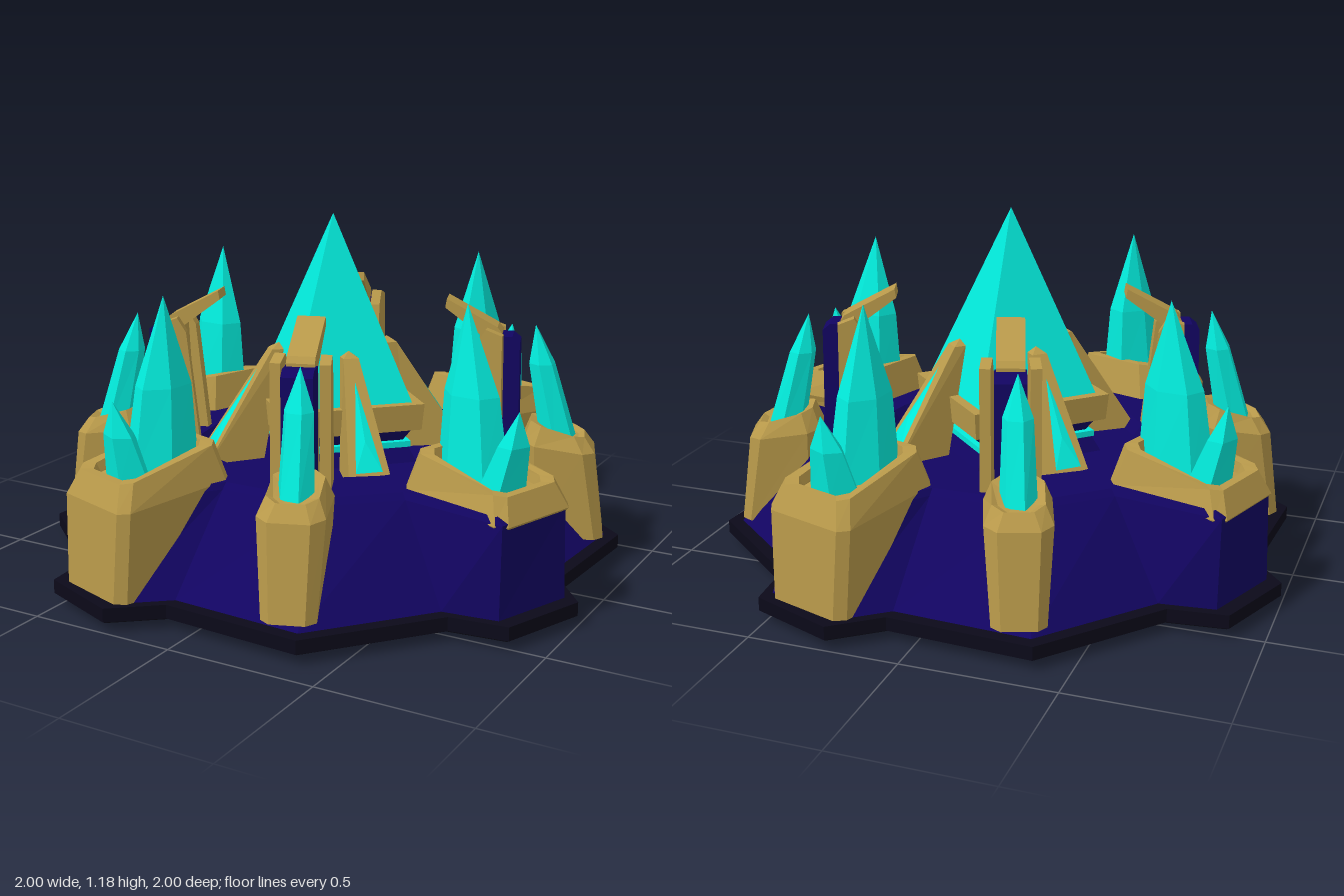
import * as THREE from 'three';

const mat = (color) => new THREE.MeshStandardMaterial({ color, flatShading: true, side: THREE.DoubleSide });
const CYAN = mat(0x02ecdc), GOLD = mat(0xb8994a), NAVY = mat(0x120562), BLACK = mat(0x0b0919);
const P = (x, y, z) => new THREE.Vector3(x, y, z);

function mesh(name, geometry, material) {
  const m = new THREE.Mesh(geometry, material);
  m.name = name;
  return m;
}

// Skin rings of equal point count; rings run anticlockwise seen from the end of the loft.
function loft(rings) {
  const out = [];
  const tri = (a, b, c) => {
    if (a.equals(b) || b.equals(c) || a.equals(c)) return;
    for (const p of [a, b, c]) out.push(p.x, p.y, p.z);
  };
  for (let k = 0; k + 1 < rings.length; k++) {
    const a = rings[k], b = rings[k + 1], n = a.length;
    for (let i = 0; i < n; i++) {
      const j = (i + 1) % n;
      tri(a[i], a[j], b[j]);
      tri(a[i], b[j], b[i]);
    }
  }
  const g = new THREE.BufferGeometry();
  g.setAttribute('position', new THREE.Float32BufferAttribute(out, 3));
  g.computeVertexNormals();
  return g;
}

const point = (n, x, y, z) => Array.from({ length: n }, () => P(x, y, z));

// Plan rings: one quarter of [x, z] points repeated four times.
// The front and back quarters may use a second list.
function plan(sideQuarter, s, y, endQuarter = sideQuarter) {
  const pts = [];
  for (let k = 0; k < 4; k++) {
    for (let [x, z] of k % 2 ? sideQuarter : endQuarter) {
      for (let i = 0; i < k; i++) [x, z] = [z, -x];
      pts.push(P(x * s, y, z * s));
    }
  }
  return pts;
}
const FOOT = [[0.54, -0.7], [0.52, -0.89], [0.24, -1], [0.09, -0.88], [-0.39, -0.91]];
const CREST = [[0.42, -0.49], [0.49, -0.84], [0.22, -0.93], [0.05, -0.61], [-0.28, -0.61]];
const CREST_BEHIND_GOLD = [[0.42, -0.49], [0.42, -0.75], [0.22, -0.82], [0.05, -0.61], [-0.28, -0.61]];
const circled = (r) => CREST.map(([x, z]) => [x, z].map((v) => v * r / Math.hypot(x, z)));

// Rectangle with cut corners; the top may slope from yIn (inner) to yOut (outer)
function cutRect(hw, z0, z1, yIn, yOut = yIn, c = 0.03) {
  return [[-hw + c, z1], [hw - c, z1], [hw, z1 - c], [hw, z0 + c], [hw - c, z0], [-hw + c, z0], [-hw, z0 + c], [-hw, z1 - c]]
    .map(([x, z]) => P(x, yIn + (yOut - yIn) * (z - z0) / (z1 - z0), z));
}

// Faceted crystal from stages [x, y, z, rx, rz], ending in a point
function crystal(name, stages, tip, sides = 6) {
  const rings = stages.map(([x, y, z, rx, rz]) => Array.from({ length: sides }, (_, i) => {
    const a = (i + 0.3) / sides * Math.PI * 2;
    return P(x + Math.sin(a) * rx, y, z + Math.cos(a) * rz);
  }));
  rings.push(point(sides, ...tip));
  return mesh(name, loft(rings), CYAN);
}

// Profile given as [radius, height], extruded sideways around x
function plate(name, pts, width, x, material) {
  const g = new THREE.ExtrudeGeometry(new THREE.Shape(pts.map((p) => new THREE.Vector2(...p))), { depth: width, bevelEnabled: false });
  g.translate(0, 0, -width / 2).rotateY(-Math.PI / 2).translate(x, 0, 0);
  return mesh(name, g, material);
}

function largeCrystalMount(fullHeight) {
  const g = new THREE.Group();
  g.name = 'largeCrystalMount';
  const rings = fullHeight ? [cutRect(0.155, -0.15, 0.235, 0.08)] : [cutRect(0.155, -0.2, 0.2, 0.34)];
  rings.push(
    cutRect(0.168, -0.205, 0.22, 0.4, 0.37),
    cutRect(0.138, -0.175, 0.185, 0.52, 0.45),
    cutRect(0.108, -0.145, 0.155, 0.52, 0.45),
    cutRect(0.1, -0.135, 0.145, 0.47, 0.42),
    point(8, 0, 0.445, 0));
  g.add(mesh('largeSocket', loft(rings), GOLD));
  g.add(crystal('tallCrystal', [[0, 0.44, -0.05, 0.095, 0.13], [0, 0.7, -0.065, 0.07, 0.1]], [-0.01, 0.98, -0.08]));
  g.add(crystal('sideCrystal', [[0, 0.42, 0.07, 0.09, 0.07], [0.005, 0.57, 0.11, 0.06, 0.045]], [0, 0.68, 0.13], 5));
  g.position.set(-0.275, 0, 0.695);
  g.rotation.y = -0.32;
  return g;
}

function smallCrystalMount() {
  const g = new THREE.Group();
  g.name = 'smallCrystalMount';
  g.add(mesh('smallSocket', loft([
    cutRect(0.085, -0.12, 0.145, 0.1),
    cutRect(0.105, -0.135, 0.105, 0.43, 0.4, 0.04),
    cutRect(0.08, -0.11, 0.07, 0.5, 0.45, 0.035),
    cutRect(0.062, -0.09, 0.05, 0.49, 0.44),
    point(8, 0, 0.45, -0.02)]), GOLD));
  g.add(crystal('smallCrystal', [[0, 0.42, -0.015, 0.06, 0.065], [0, 0.69, -0.08, 0.048, 0.045]], [0, 0.82, -0.105]));
  g.position.set(0.285, 0, 0.735);
  g.rotation.y = 0.356;
  return g;
}

// Upright post with a claw reaching in over the centre
function clawPost() {
  const g = new THREE.Group();
  g.name = 'clawPost';
  g.add(plate('postBack', [[0.55, 0.34], [0.64, 0.34], [0.635, 0.77], [0.61, 0.79], [0.55, 0.79]], 0.1, 0, NAVY));
  g.add(plate('postArm', [[0.5, 0.34], [0.56, 0.34], [0.575, 0.8], [0.56, 0.82], [0.39, 0.91], [0.385, 0.88], [0.52, 0.78]], 0.09, 0, GOLD));
  for (const s of [-1, 1]) {
    const side = plate('postSide', [[0.455, 0.34], [0.59, 0.34], [0.585, 0.8], [0.53, 0.82], [0.5, 0.77]], 0.035, s * 0.02, GOLD);
    side.rotation.y = s * 0.1;
    g.add(side);
  }
  g.rotation.y = 0.34;
  return g;
}

// Leaning wedge with a triangular crystal pane
function paneWedge() {
  const g = new THREE.Group();
  g.name = 'paneWedge';
  const quad = (hwOut, hwIn, z0, z1, y) => [P(-hwOut, y, z1), P(hwOut, y, z1), P(hwIn, y, z0), P(-hwIn, y, z0)];
  g.add(mesh('wedgeFrame', loft([quad(0.076, 0.05, 0.26, 0.47, 0.34), quad(0.026, 0.026, 0.18, 0.22, 0.73), point(4, 0, 0.75, 0.19)]), GOLD));
  const face = (x, t, d) => P(x, 0.34 + 0.39 * t + d * 0.54, 0.47 - 0.25 * t + d * 0.84);
  const pane = [[-0.045, 0.16], [0.045, 0.16], [0, 0.82]];
  const c = face(0, 0.38, 0.01);
  g.add(mesh('wedgePane', loft([pane.map(([x, t]) => face(x, t, 0.003)), point(3, c.x, c.y, c.z)]), CYAN));
  g.rotation.y = Math.PI / 4;
  return g;
}

export function createModel() {
  const model = new THREE.Group();
  model.name = 'crystalShrine';

  // Foundation slab, then a body whose walls flare between the mounts and enclose a sunken floor
  model.add(mesh('foundation', loft([point(20, -0.05, 0, 0.05), plan(FOOT, 0.99, 0.03), plan(FOOT, 1, 0.035), plan(FOOT, 1, 0.08), point(20, 0, 0.08, 0)]), BLACK));
  model.add(mesh('body', loft([
    plan(FOOT, 0.95, 0.08),
    plan(CREST, 1.01, 0.38, CREST_BEHIND_GOLD),
    plan(CREST, 0.98, 0.4, CREST_BEHIND_GOLD),
    plan(circled(0.46), 1, 0.4),
    plan(circled(0.43), 1, 0.36),
    point(20, 0, 0.36, 0)]), NAVY));

  // Central platform, glowing band, floating frame and great crystal
  const cyl = (name, rTop, rBottom, y0, y1, material) => {
    const m = mesh(name, new THREE.CylinderGeometry(rTop, rBottom, y1 - y0, 4), material);
    m.position.y = (y0 + y1) / 2;
    model.add(m);
  };
  cyl('platform', 0.29, 0.33, 0.35, 0.41, NAVY);
  cyl('glowBand', 0.3, 0.3, 0.41, 0.43, CYAN);
  cyl('frameUnderside', 0.31, 0.27, 0.43, 0.48, NAVY);
  cyl('crystalFrame', 0.35, 0.34, 0.475, 0.565, GOLD);
  cyl('greatCrystal', 0, 0.305, 0.56, 1.18, CYAN);

  // Four matching sectors; front and back sockets reach down to the slab
  for (let k = 0; k < 4; k++) {
    const sector = new THREE.Group();
    sector.name = 'sector';
    sector.add(largeCrystalMount(k % 2 === 0), smallCrystalMount(), clawPost(), paneWedge());
    sector.rotation.y = k * Math.PI / 2;
    model.add(sector);
  }
  return model;
}
